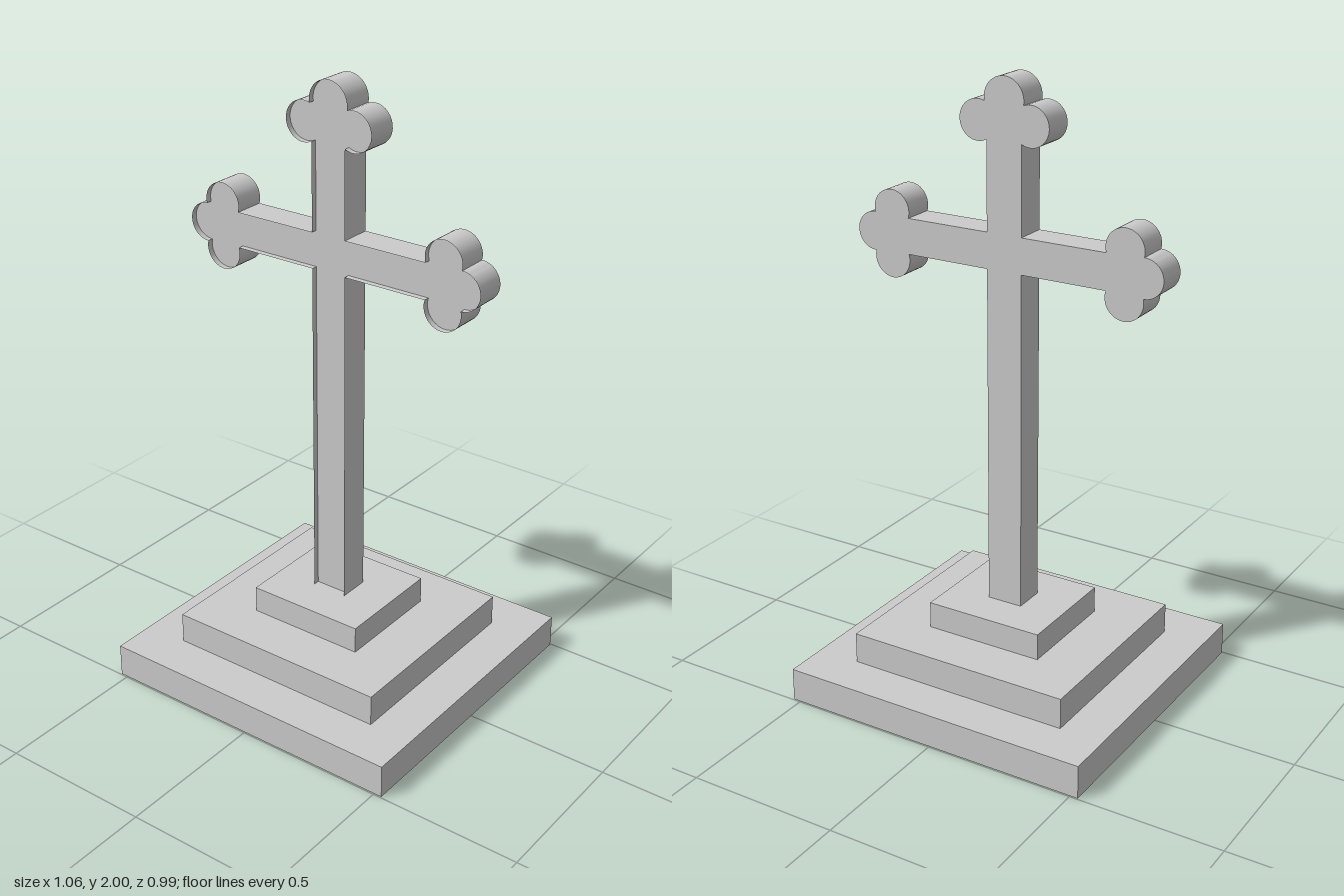
import * as THREE from 'three';
import { toCreasedNormals } from 'three/addons/utils/BufferGeometryUtils.js';

const material = new THREE.MeshStandardMaterial({ color: 0xcccccc, side: THREE.DoubleSide });

function addMesh(parent, name, geometry) {
  const mesh = new THREE.Mesh(geometry, material);
  mesh.name = name;
  parent.add(mesh);
  return mesh;
}

// Open wall following a closed counter-clockwise outline between two depths
function wall(outline, z0, z1) {
  const positions = [];
  outline.forEach((a, i) => {
    const b = outline[(i + 1) % outline.length];
    positions.push(a.x, a.y, z0, b.x, b.y, z0, b.x, b.y, z1);
    positions.push(a.x, a.y, z0, b.x, b.y, z1, a.x, a.y, z1);
  });
  const geometry = new THREE.BufferGeometry();
  geometry.setAttribute('position', new THREE.Float32BufferAttribute(positions, 3));
  return toCreasedNormals(geometry, 0.6);
}

// Three-lobed end of a bar of half width h that points along +x.
// Side lobes sit at (a, +-s) with radius r, the tip lobe at (t, 0) with radius q.
function trefoil({ h, a, s, r, t, q }) {
  const side = new THREE.Vector2(a, -s), tip = new THREE.Vector2(t, 0);
  const d = side.distanceTo(tip);
  const along = (d * d + r * r - q * q) / (2 * d);
  const toTip = tip.clone().sub(side).divideScalar(d);
  const meet = side.clone().addScaledVector(toTip, along)
    .addScaledVector(new THREE.Vector2(toTip.y, -toTip.x), Math.sqrt(r * r - along * along));
  const half = [];
  const arc = (c, radius, from, to, n) => {
    for (let i = 0; i <= n; i++) {
      const w = from + (to - from) * i / n;
      half.push(new THREE.Vector2(c.x + radius * Math.cos(w), c.y + radius * Math.sin(w)));
    }
  };
  const start = Math.atan2(s - h, -Math.sqrt(r * r - (s - h) ** 2));
  let end = Math.atan2(meet.y - side.y, meet.x - side.x);
  if (end < start) end += 2 * Math.PI;
  arc(side, r, start, end, 20);
  half.pop();
  arc(tip, q, Math.atan2(meet.y, meet.x - t), 0, 12);
  const mirrored = half.slice(0, -1).reverse().map(p => new THREE.Vector2(p.x, -p.y));
  return [...half, ...mirrored];
}

function crossOutline() {
  const armY = 1.469, stem = 0.06, bar = 0.0575;
  const armEnd = trefoil({ h: bar, a: 0.406, s: 0.077, r: 0.064, t: 0.47, q: 0.062 });
  const topEnd = trefoil({ h: stem, a: 1.862, s: 0.09, r: 0.063, t: 1.932, q: 0.068 });
  const v = (x, y) => new THREE.Vector2(x, y);
  return [
    v(-stem, 0.3), v(stem, 0.3), v(stem, armY - bar),
    ...armEnd.map(p => v(p.x, armY + p.y)),
    v(stem, armY + bar),
    ...topEnd.map(p => v(-p.y, p.x)),
    v(-stem, armY + bar),
    ...armEnd.map(p => v(-p.x, armY - p.y)),
    v(-stem, armY - bar),
  ];
}

const rectangle = (x, z) =>
  [[-x, -z], [x, -z], [x, z], [-x, z]].map(p => new THREE.Vector2(...p));

export function createModel() {
  const model = new THREE.Group();

  // Cross: solid back, front panel set back inside a thin rim
  const cross = new THREE.Group();
  cross.name = 'cross';
  model.add(cross);
  const outline = crossOutline(), depth = 0.0525, recess = 0.02;
  const panel = new THREE.ShapeGeometry(new THREE.Shape(outline));
  addMesh(cross, 'crossRim', wall(outline, -depth, depth));
  addMesh(cross, 'crossFront', panel).position.z = depth - recess;
  const back = panel.clone();
  back.rotateY(Math.PI); // the outline is mirror symmetric
  addMesh(cross, 'crossBack', back).position.z = -depth;

  // Stepped base: hollow tiers, the lowest open into the middle one
  const tiers = [
    { name: 'lowerStep', x: 0.526, z: 0.496, y0: 0, y1: 0.11 },
    { name: 'middleStep', x: 0.38, z: 0.348, y0: 0.11, y1: 0.212 },
    { name: 'upperStep', x: 0.201, z: 0.184, y0: 0.212, y1: 0.3 },
  ];
  tiers.forEach((tier, i) => {
    const step = new THREE.Group();
    step.name = tier.name;
    step.rotation.x = -Math.PI / 2;
    model.add(step);
    const edge = rectangle(tier.x, tier.z);
    const top = new THREE.Shape(edge);
    if (i === 0) top.holes.push(new THREE.Path(rectangle(tiers[1].x, tiers[1].z)));
    addMesh(step, tier.name + 'Sides', wall(edge, tier.y0, tier.y1));
    addMesh(step, tier.name + 'Top', new THREE.ShapeGeometry(top)).position.z = tier.y1;
  });

  return model;
}
